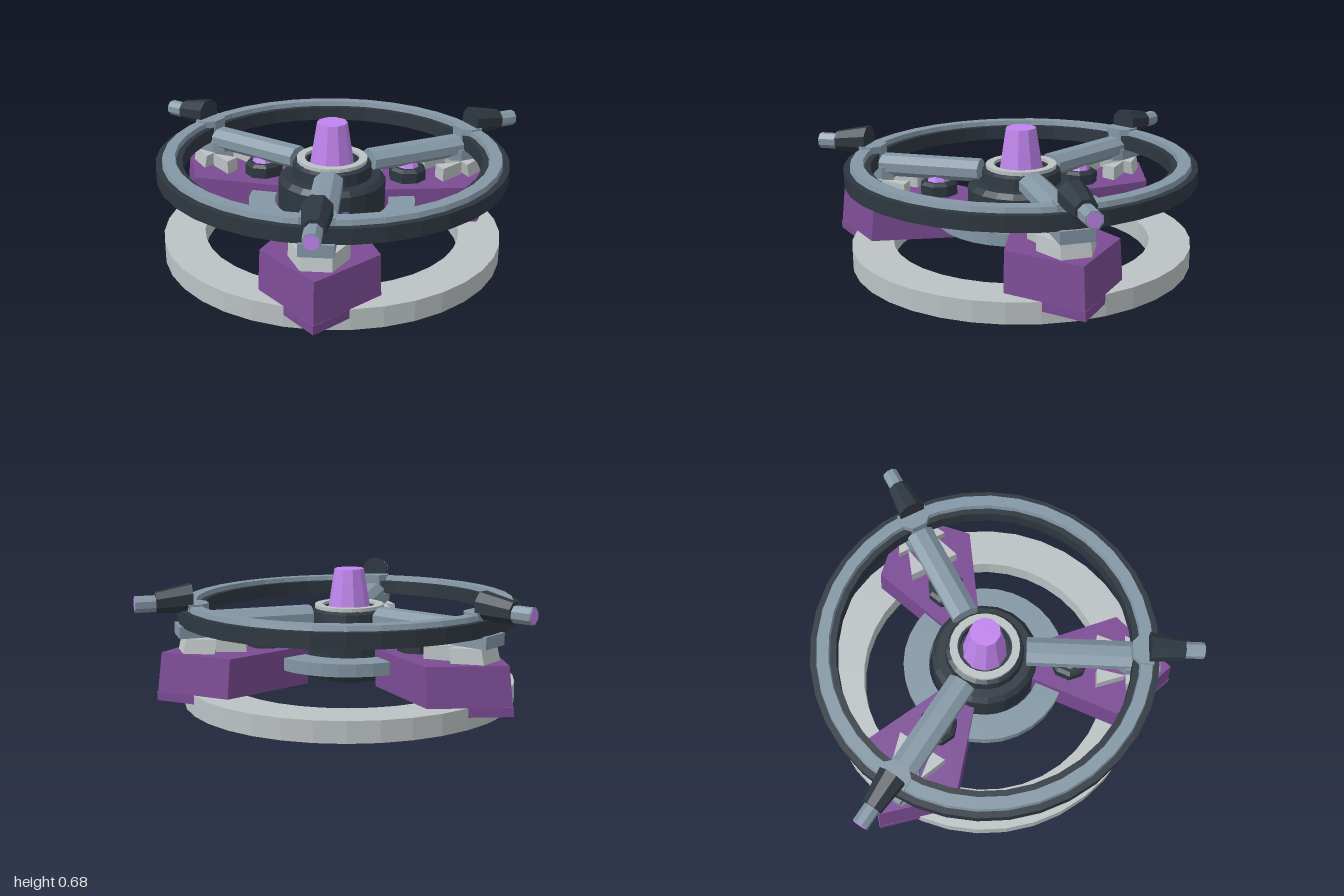
import * as THREE from 'three';

const mat = (color) => new THREE.MeshStandardMaterial({ color, flatShading: true });

export function createModel() {
  const purple = mat(0x7b4b94), pink = mat(0xc084ee), dark = mat(0x2e3740);
  const steel = mat(0x8497a5), light = mat(0xbcc2c4);

  const model = new THREE.Group();
  const body = new THREE.Group();
  body.name = 'turntable';
  body.position.z = 0.1;
  model.add(body);

  const add = (parent, name, geometry, material) => {
    const mesh = new THREE.Mesh(geometry, material);
    mesh.name = name;
    parent.add(mesh);
    return mesh;
  };
  const lathe = (pts, n = 32) => new THREE.LatheGeometry(pts.map(([r, y]) => new THREE.Vector2(r, y)), n);
  // Rectangular ring between two radii and two heights
  const ring = (r0, r1, y0, y1, n) => lathe([[r0, y0], [r1, y0], [r1, y1], [r0, y1], [r0, y0]], n);
  // Plan outline of [sideways, outward] points raised from y0 to y1
  const slab = (pts, y0, y1) => {
    const shape = new THREE.Shape(pts.map(([x, r]) => new THREE.Vector2(x, -r)));
    const g = new THREE.ExtrudeGeometry(shape, { depth: y1 - y0, bevelEnabled: false });
    return g.rotateX(-Math.PI / 2).translate(0, y0, 0);
  };
  // Shrinks the plan of a slab towards its top
  const taper = (g, y0, y1, amount) => {
    const p = g.attributes.position;
    for (let i = 0; i < p.count; i++) {
      const s = 1 - amount * (p.getY(i) - y0) / (y1 - y0);
      p.setX(i, p.getX(i) * s);
      p.setZ(i, p.getZ(i) * s);
    }
    return g;
  };
  // Faceted rod pointing outward
  const rod = (rIn, rOut, z0, z1, y) => new THREE.CylinderGeometry(rOut, rIn, z1 - z0, 8)
    .rotateY(Math.PI / 8).rotateX(Math.PI / 2).translate(0, y, (z0 + z1) / 2);

  // Rings
  add(body, 'baseRing', ring(0.657, 0.867, 0, 0.105, 36), light);
  add(body, 'middleRing', ring(0.295, 0.43, 0.195, 0.26, 32), steel);
  add(body, 'wheelRim', ring(0.755, 0.887, 0.43, 0.505, 36), dark);
  add(body, 'rimBand', lathe([[0.785, 0.5], [0.857, 0.5], [0.85, 0.53], [0.79, 0.53], [0.785, 0.5]], 36), steel);

  // Hub
  add(body, 'hub', lathe([[0, 0.12], [0.23, 0.12], [0.275, 0.2], [0.275, 0.375], [0.25, 0.4],
    [0.205, 0.4], [0.2, 0.46], [0.175, 0.475], [0.13, 0.475], [0.13, 0.43], [0, 0.43]], 20), dark);
  add(body, 'hubCollar', ring(0.14, 0.18, 0.45, 0.49, 24), light);
  add(body, 'crystal', new THREE.CylinderGeometry(0.077, 0.116, 0.245, 10).translate(0, 0.5525, 0), pink);

  // Three identical arms, built pointing along +z
  for (const angle of [Math.PI / 3, -Math.PI / 3, Math.PI]) {
    const arm = new THREE.Group();
    arm.name = 'arm';
    arm.rotation.y = angle;
    body.add(arm);

    // Wedge foot, its tip hanging over the base ring
    const foot = [[0.1, 0.26], [0.28, 0.715], [0, 1.005], [-0.28, 0.715], [-0.1, 0.26]];
    add(arm, 'foot', taper(slab(foot, 0.105, 0.3), 0.105, 0.3, 0.025), purple);
    add(arm, 'footTip', slab([[0.15, 0.85], [0, 1.01], [-0.15, 0.85]], 0.06, 0.105), purple);

    // Light plates on the foot
    for (const s of [-1, 1]) {
      add(arm, 'inlayTooth', slab([[0.055 * s, 0.585], [0.135 * s, 0.585], [0.085 * s, 0.73]], 0.3, 0.372), light);
    }
    add(arm, 'outerInlay', taper(slab([[0.14, 0.745], [0.07, 0.885], [-0.07, 0.885], [-0.14, 0.745]],
      0.3, 0.372), 0.3, 0.372, 0.02), light);

    // Bolt
    add(arm, 'boltSeat', lathe([[0, 0.3], [0.1, 0.3], [0.1, 0.355], [0.08, 0.37], [0, 0.37]], 8)
      .translate(0, 0, 0.445), dark);
    add(arm, 'boltCap', new THREE.CylinderGeometry(0.045, 0.062, 0.04, 8).translate(0, 0.388, 0.445), pink);

    // Spoke with chamfered edges
    const spoke = new THREE.CylinderGeometry(0.076, 0.076, 0.59, 8)
      .rotateY(Math.PI / 8).rotateX(Math.PI / 2).scale(1, 0.78, 1).translate(0, 0.437, 0.51);
    add(arm, 'spoke', spoke, steel);

    // Clamp around the rim
    add(arm, 'lowerClamp', slab([[0.05, 0.68], [0.08, 0.73], [0.08, 0.9], [-0.08, 0.9], [-0.08, 0.73], [-0.05, 0.68]],
      0.375, 0.435), steel);
    add(arm, 'upperClamp', slab([[0.04, 0.745], [0.08, 0.785], [0.08, 0.85], [-0.08, 0.85], [-0.08, 0.785], [-0.04, 0.745]],
      0.435, 0.54), steel);

    // Nozzle
    add(arm, 'nozzleBody', taperNozzle(rod(0.075, 0.054, 0.825, 1.0, 0.55)), dark);
    add(arm, 'nozzle', rod(0.042, 0.042, 0.99, 1.098, 0.545), steel);
    add(arm, 'nozzleTip', rod(0.035, 0.035, 1.09, 1.1, 0.545), pink);
  }
  return model;
}

// Lifts the inner end of the nozzle body so its underside stays level
function taperNozzle(g) {
  const p = g.attributes.position;
  for (let i = 0; i < p.count; i++) {
    const t = (1.0 - p.getZ(i)) / 0.175;
    p.setY(i, p.getY(i) + 0.015 * t);
  }
  return g;
}
